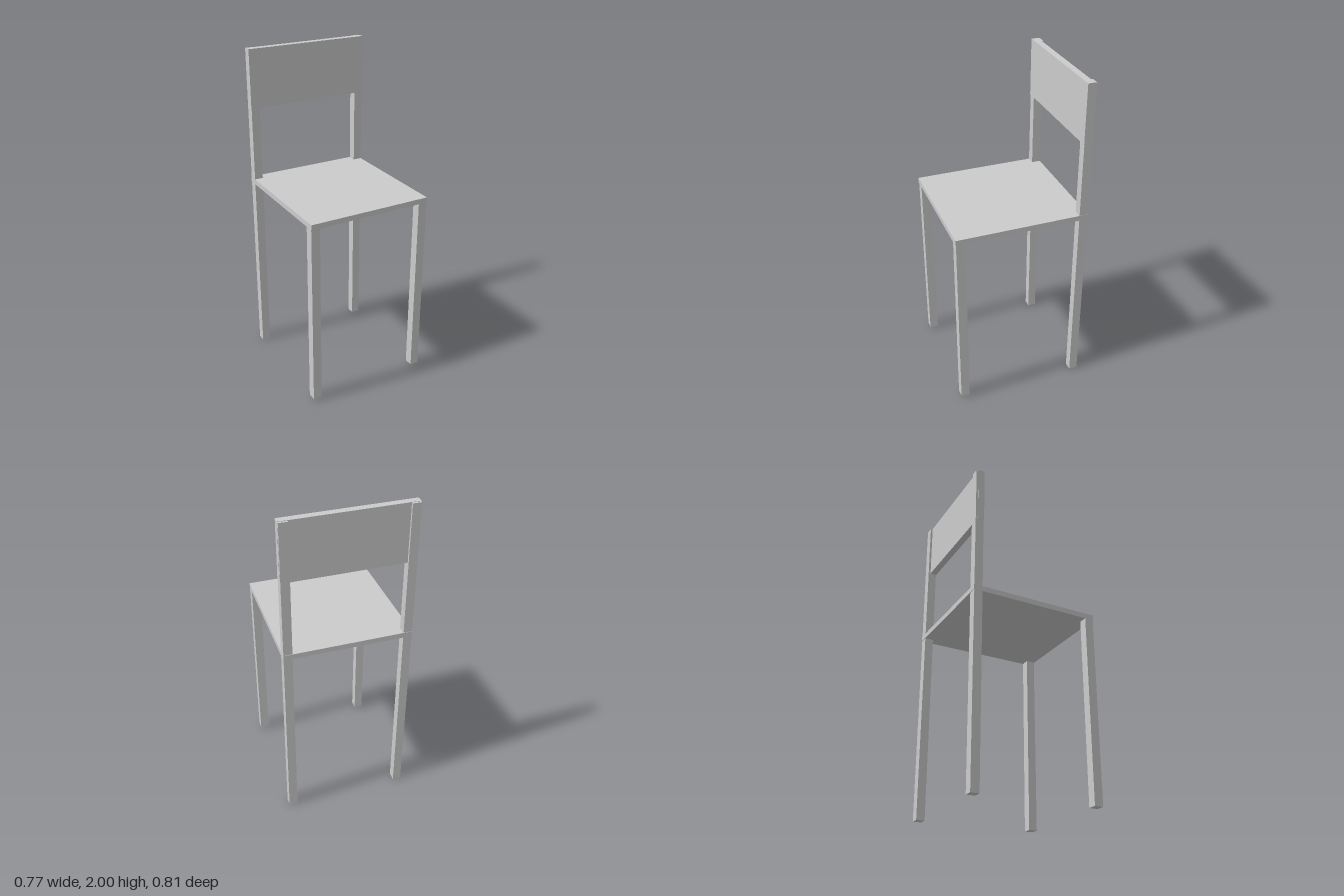
import * as THREE from 'three';

export function createModel() {
  const model = new THREE.Group();
  model.name = 'chair';
  const material = new THREE.MeshStandardMaterial({ color: 0xcccccc });

  // Box given by its lower and upper corners
  function addBox(name, [x0, y0, z0], [x1, y1, z1]) {
    const mesh = new THREE.Mesh(new THREE.BoxGeometry(x1 - x0, y1 - y0, z1 - z0), material);
    mesh.position.set((x0 + x1) / 2, (y0 + y1) / 2, (z0 + z1) / 2);
    mesh.name = name;
    model.add(mesh);
  }

  const half = 0.383;
  const inner = 0.329;

  // Seat slab
  addBox('seat', [-half, 1.16, -0.403], [half, 1.192, 0.403]);

  // Front legs end under the seat; rear legs run up as back posts
  for (const [side, x0, x1] of [['left', inner, half], ['right', -half, -inner]]) {
    addBox(`${side}FrontLeg`, [x0, 0.015, 0.346], [x1, 1.17, 0.4]);
    addBox(`${side}RearLegAndPost`, [x0 + 0.001, 0, -0.401], [x1 - 0.001, 1.998, -0.349]);
  }

  // Backrest panel, let into the front of the posts
  addBox('backrest', [-half - 0.001, 1.645, -0.388], [half, 2, -0.347]);

  return model;
}
